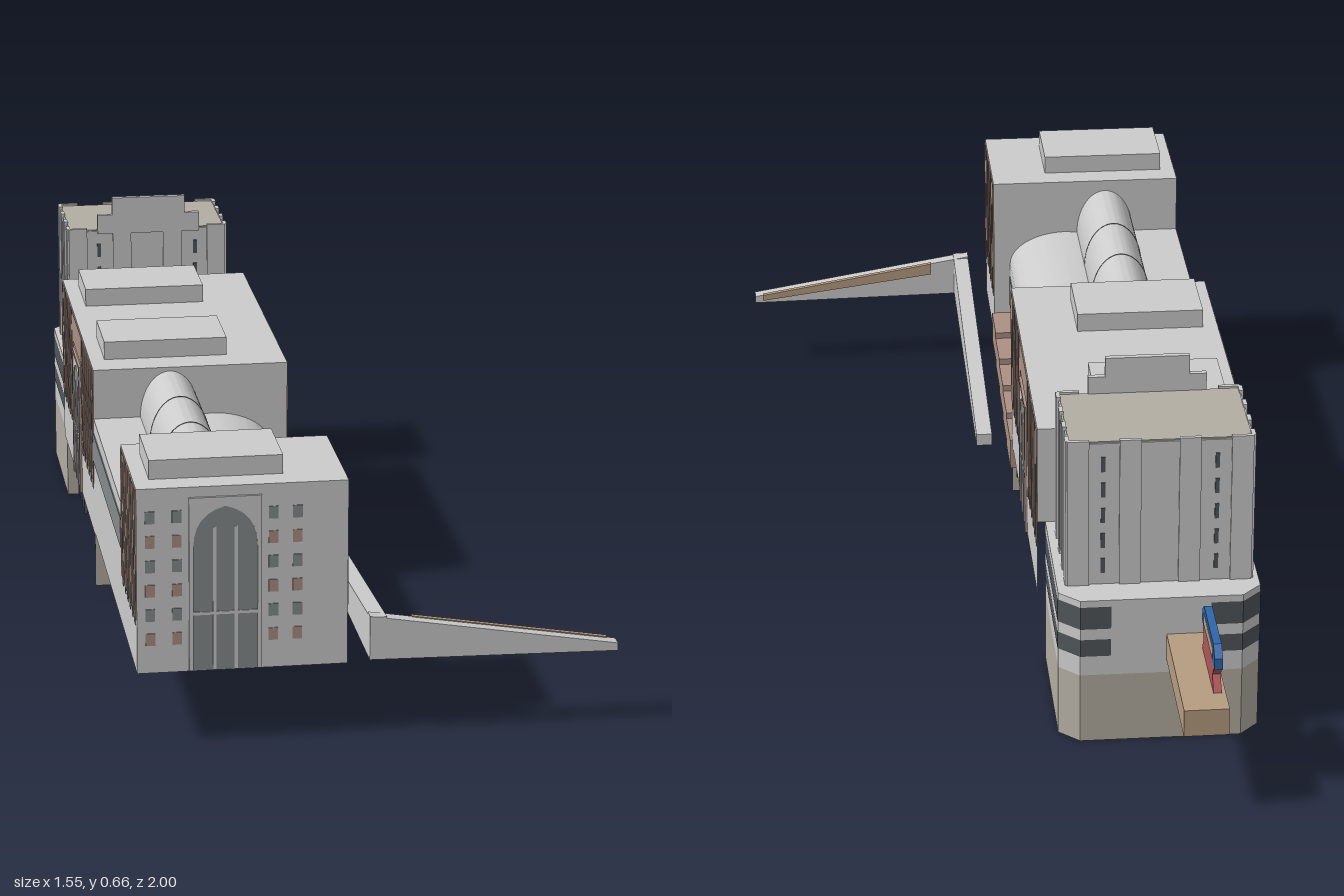
import * as THREE from 'three';
import { toCreasedNormals } from 'three/addons/utils/BufferGeometryUtils.js';

const GREY = 0xcccccc, BROWN = 0xab9084, GLASS = 0x858b8b, DARK = 0x50565a, STONE = 0xb3ada2, TAN = 0xb59c80;
const mats = {};
// shells are open below, so every wall shows from both sides
const mat = (color) => (mats[color] ??= new THREE.MeshStandardMaterial({ color, side: THREE.DoubleSide }));

function add(parent, name, geometry, color) {
  const m = new THREE.Mesh(geometry, mat(color));
  m.name = name;
  parent.add(m);
  return m;
}

// Local frame: x runs along the building, z across it; turned 45 degrees at the end.
function box(parent, name, [x0, x1], [y0, y1], [z0, z1], color = GREY) {
  const m = add(parent, name, new THREE.BoxGeometry(x1 - x0, y1 - y0, z1 - z0), color);
  m.position.set((x0 + x1) / 2, (y0 + y1) / 2, (z0 + z1) / 2);
  return m;
}

// Box shell without a floor and without its two end walls
function shell(...args) {
  const g = box(...args).geometry, i = [...g.index.array];
  g.clearGroups();
  g.setIndex([...i.slice(12, 18), ...i.slice(24)]);
}

// Outline [a, b] pairs extruded by depth along local z
function prism(parent, name, pts, depth, color = GREY) {
  const shape = new THREE.Shape(pts.map(([a, b]) => new THREE.Vector2(a, b)));
  return add(parent, name, new THREE.ExtrudeGeometry(shape, { depth, bevelEnabled: false }), color);
}

// Uncapped band of wall between two copies of a path; at(p, k) places point p on copy k
function band(parent, name, pts, at, color) {
  const pos = [];
  for (let i = 0; i + 1 < pts.length; i++) {
    const [p, q] = [pts[i], pts[i + 1]];
    for (const [r, k] of [[p, 0], [q, 0], [q, 1], [p, 0], [q, 1], [p, 1]]) pos.push(...at(r, k));
  }
  const g = new THREE.BufferGeometry();
  g.setAttribute('position', new THREE.Float32BufferAttribute(pos, 3));
  return add(parent, name, toCreasedNormals(g, 0.5), color);
}

// Tall glazed opening with frame, mullions and a pointed arch, facing +z
function tallWindow(name, w, y0, y1, frame) {
  const g = new THREE.Group();
  g.name = name;
  const h = w / 2, f = 0.008;
  box(g, 'glass', [-h, h], [y0, y1], [-0.002, 0.002], GLASS);
  for (const s of [-1, 1]) {
    const x = s * (h + f / 2);
    box(g, 'jamb', [x - f / 2, x + f / 2], [y0, y1 + f], [0, 0.005], frame);
    box(g, 'mullion', [s * h / 3 - 0.003, s * h / 3 + 0.003], [y0, y1 - 0.05], [0, 0.004]);
  }
  box(g, 'lintel', [-h, h], [y1, y1 + f], [0, 0.005], frame);
  box(g, 'transom', [-h, h], [y0 + 0.11, y0 + 0.116], [0, 0.004]);
  // spandrel with a pointed arch cut out
  const s = new THREE.Shape();
  s.moveTo(-h, y1 - 0.09);
  s.quadraticCurveTo(-h, y1 - 0.025, 0, y1 - 0.01);
  s.quadraticCurveTo(h, y1 - 0.025, h, y1 - 0.09);
  s.lineTo(h, y1);
  s.lineTo(-h, y1);
  add(g, 'archSpandrel', new THREE.ExtrudeGeometry(s, { depth: 0.004, bevelEnabled: false, curveSegments: 6 }), GREY);
  return g;
}

// Flush brown piers with three rows of windows between them on a long face
function bays(parent, x0, x1, n, z, side, top) {
  const step = (x1 - x0) / n, g = new THREE.Group();
  g.name = 'facadeBays';
  const slab = (name, a, b, y0, y1, d, c) =>
    box(g, name, [a, b], [y0, y1], side > 0 ? [z, z + d] : [z - d, z], c);
  for (let i = 0; i <= n; i++) {
    const c = Math.min(Math.max(x0 + i * step, x0 + 0.01), x1 - 0.01);
    slab('pier', c - 0.01, c + 0.01, 0.25, top, 0.002, BROWN);
    if (i === n) continue;
    const w = x0 + (i + 0.5) * step;
    for (const y of [0.235, 0.315, 0.38])
      slab('window', w - step * 0.2, w + step * 0.2, y, y + 0.04, 0.001, GLASS);
  }
  parent.add(g);
}

export function createModel() {
  const root = new THREE.Group(), b = new THREE.Group();
  root.name = 'riversideBuilding';
  b.name = 'building';
  b.rotation.y = Math.PI / 4;
  root.add(b);
  const Z = [-0.3, 0.095], mid = (Z[0] + Z[1]) / 2;

  // End block and main block, open below, with raised roof boxes
  shell(b, 'endBlock', [-0.797, -0.54], [0.145, 0.508], Z);
  shell(b, 'mainBlock', [-0.033, 0.615], [0.14, 0.493], Z);
  for (const [x, y] of [[-0.745, 0.508], [0.035, 0.493], [0.41, 0.493]])
    box(b, 'roofBox', [x, x + 0.152], [y, y + 0.037], [-0.27, -0.02]);

  // Cross walls closing the blocks; a footing hangs below the main block's inner one
  for (const [name, x, y0, y1, s, c] of [
    ['endWall', -0.797, 0.145, 0.508, -1, GREY], ['innerEndWall', -0.54, 0.145, 0.508, 1, GREY],
    ['mainInnerWall', -0.033, 0.14, 0.493, -1, GREY], ['footingWall', -0.033, 0.03, 0.14, -1, STONE],
    ['mainTowerWall', 0.615, 0.296, 0.493, 1, GREY]]) {
    const w = add(b, name, new THREE.PlaneGeometry(Z[1] - Z[0], y1 - y0), c);
    w.rotation.y = s * Math.PI / 2;
    w.position.set(x, (y0 + y1) / 2, mid);
  }

  // Facades on both long sides
  for (const [z, s] of [[Z[1], 1], [Z[0], -1]]) {
    bays(b, -0.79, -0.55, 6, z, s, 0.505);
    bays(b, -0.028, 0.215, 6, z, s, 0.49);
    bays(b, 0.375, 0.612, 6, z, s, 0.49);
    box(b, 'portalHeader', [0.215, 0.375], [0.43, 0.49], s > 0 ? [z, z + 0.002] : [z - 0.002, z], BROWN);
    const portal = tallWindow('portal', 0.126, 0.142, 0.41, BROWN);
    portal.position.set(0.295, 0, z);
    if (s < 0) portal.rotation.y = Math.PI;
    b.add(portal);
    for (const x of [0.023, 0.24, 0.28, 0.32, 0.36])
      box(b, 'post', [x - 0.003, x + 0.003], [0.09, 0.145], [z - s * 0.008 - 0.003, z - s * 0.008 + 0.003], DARK);
  }

  // Gable end of the end block: great window and columns of small windows
  const great = tallWindow('greatWindow', 0.12, 0.147, 0.48, GREY);
  great.position.set(-0.797, 0, -0.135);
  great.rotation.y = -Math.PI / 2;
  b.add(great);
  for (const z of [-0.275, -0.225, -0.045, 0.0])
    for (let i = 0; i < 6; i++)
      box(b, 'endWindow', [-0.799, -0.797], [0.2 + i * 0.048, 0.224 + i * 0.048], [z - 0.009, z + 0.009], i % 2 ? GLASS : BROWN);

  // Barrel-roofed hall: one open cross-section run between the blocks
  const hall = new THREE.Path();
  hall.moveTo(-0.3, 0.145);
  hall.lineTo(-0.3, 0.39);
  hall.lineTo(-0.205, 0.39);
  hall.absellipse(-0.145, 0.39, 0.06, 0.095, Math.PI, 0, true);
  hall.lineTo(-0.06, 0.392);
  hall.absellipse(-0.06, 0.32, 0.12, 0.072, Math.PI / 2, 0, true);
  hall.lineTo(0.06, 0.145);
  band(b, 'barrelHall', hall.getPoints(20), (p, k) => [k ? -0.033 : -0.54, p.y, p.x], GREY);
  box(b, 'frontGlazing', [-0.54, -0.033], [0.225, 0.29], [0.06, 0.062], GLASS);
  box(b, 'rearGlazing', [-0.54, -0.033], [0.3, 0.36], [-0.302, -0.3], GLASS);
  for (const x of [-0.36, -0.2]) {
    const rib = add(b, 'barrelRib', new THREE.TorusGeometry(0.06, 0.001, 4, 16, Math.PI), GLASS);
    rib.scale.y = 0.095 / 0.06;
    rib.rotation.y = Math.PI / 2;
    rib.position.set(x, 0.39, -0.145);
  }

  // Descending brown terrace in front of the hall
  for (let i = 0; i < 5; i++) {
    const x = -0.54 + i * 0.104;
    box(b, 'terraceStep', [x, x + 0.104], [0.142 - i * 0.013, 0.205 - i * 0.013], [0.055, 0.1], BROWN);
  }

  // Two-leg ramp
  prism(b, 'longRamp', [[-0.8, 0.15], [-0.8, 0.235], [-0.03, 0.165], [-0.03, 0.14]], 0.032).position.z = 0.137;
  for (const [name, pts, w, x, c] of [
    ['shortRamp', [[0.137, 0.15], [0.137, 0.237], [0.612, 0.158], [0.612, 0.143]], 0.026, -0.774, GREY],
    ['rampDeck', [[0.22, 0.2], [0.22, 0.225], [0.595, 0.163], [0.595, 0.15]], 0.01, -0.768, TAN]]) {
    const leg = prism(b, name, pts, w, c);
    leg.rotation.y = -Math.PI / 2;
    leg.position.x = x;
  }

  // Tower base: far corners chamfered, open below, with a deck on top
  const plan = [[0.612, 0.08], [0.897, 0.08], [0.933, 0.042], [0.933, -0.259], [0.897, -0.295], [0.612, -0.295]];
  const ring = (name, pts, y0, y1, c) => band(b, name, pts, ([x, z], k) => [x, k ? y1 : y0, z], c);
  ring('towerFooting', [...plan, plan[0]], 0, 0.14, STONE);
  ring('towerBase', plan, 0.14, 0.296, GREY);
  const deck = add(b, 'towerDeck', new THREE.ShapeGeometry(
    new THREE.Shape(plan.map(([x, z]) => new THREE.Vector2(x, -z)))), GREY);
  deck.rotation.x = -Math.PI / 2;
  deck.position.y = 0.296;
  // strip windows wrap each far corner
  for (const [y0, y1] of [[0.18, 0.215], [0.237, 0.283]]) {
    ring('stripWindow', [[0.617, 0.081], [0.897, 0.081], [0.934, 0.042], [0.934, -0.015]], y0, y1, DARK);
    ring('stripWindow', [[0.934, -0.2], [0.934, -0.259], [0.897, -0.296], [0.617, -0.296]], y0, y1, DARK);
  }

  // Tower shaft with roof, pilasters, slot windows
  const T = { x: [0.661, 0.869], z: [-0.281, 0.061] };
  box(b, 'towerShaft', T.x, [0.29, 0.585], T.z);
  box(b, 'towerRoof', [0.664, 0.866], [0.583, 0.588], [-0.278, 0.058], STONE);
  for (const z of T.z) {
    for (const x of [0.673, 0.733, 0.797, 0.857])
      box(b, 'sidePilaster', [x - 0.012, x + 0.012], [0.29, 0.592], [z - 0.004, z + 0.004]);
    box(b, 'sidePanel', [0.745, 0.785], [0.31, 0.575], [z - 0.002, z + 0.002], GLASS);
    for (const x of [0.7, 0.83])
      for (let i = 0; i < 5; i++)
        box(b, 'slot', [x - 0.003, x + 0.003], [0.32 + i * 0.052, 0.35 + i * 0.052], [z - 0.002, z + 0.002], DARK);
  }
  for (const x of T.x) {
    for (const z of [-0.261, -0.165, -0.055, 0.041])
      box(b, 'endPilaster', [x - 0.004, x + 0.004], [0.29, 0.592], [z - 0.02, z + 0.02]);
    for (const z of [-0.215, -0.005])
      for (let i = 0; i < 5; i++)
        box(b, 'slot', [x - 0.002, x + 0.002], [0.32 + i * 0.052, 0.35 + i * 0.052], [z - 0.004, z + 0.004], DARK);
  }

  // Stepped gable on the tower edge above the main roof
  box(b, 'gableStep', [0.656, 0.667], [0.58, 0.622], [-0.218, 0.004]);
  box(b, 'gableTop', [0.656, 0.667], [0.622, 0.66], [-0.186, -0.028]);

  // Jetty with a thin upright sign
  box(b, 'jetty', [0.92, 1.212], [0.167, 0.22], [-0.2, -0.118], TAN);
  const sign = [
    ['signFoot', [[0.985, 0.22], [1.155, 0.22], [1.135, 0.248], [1.155, 0.272], [0.985, 0.272], [1.005, 0.248]], 0.015, 0xb25656],
    ['signTop', [[0.977, 0.272], [1.163, 0.272], [1.163, 0.295], [1.14, 0.313], [1.0, 0.313], [0.977, 0.295]], 0.015, 0x2f66a8],
    ['signPanel', [[1.005, 0.279], [1.135, 0.279], [1.135, 0.302], [1.005, 0.302]], 0.017, TAN],
  ];
  for (const [name, pts, d, c] of sign) prism(b, name, pts, d, c).position.z = -0.185 - d / 2;

  return root;
}
